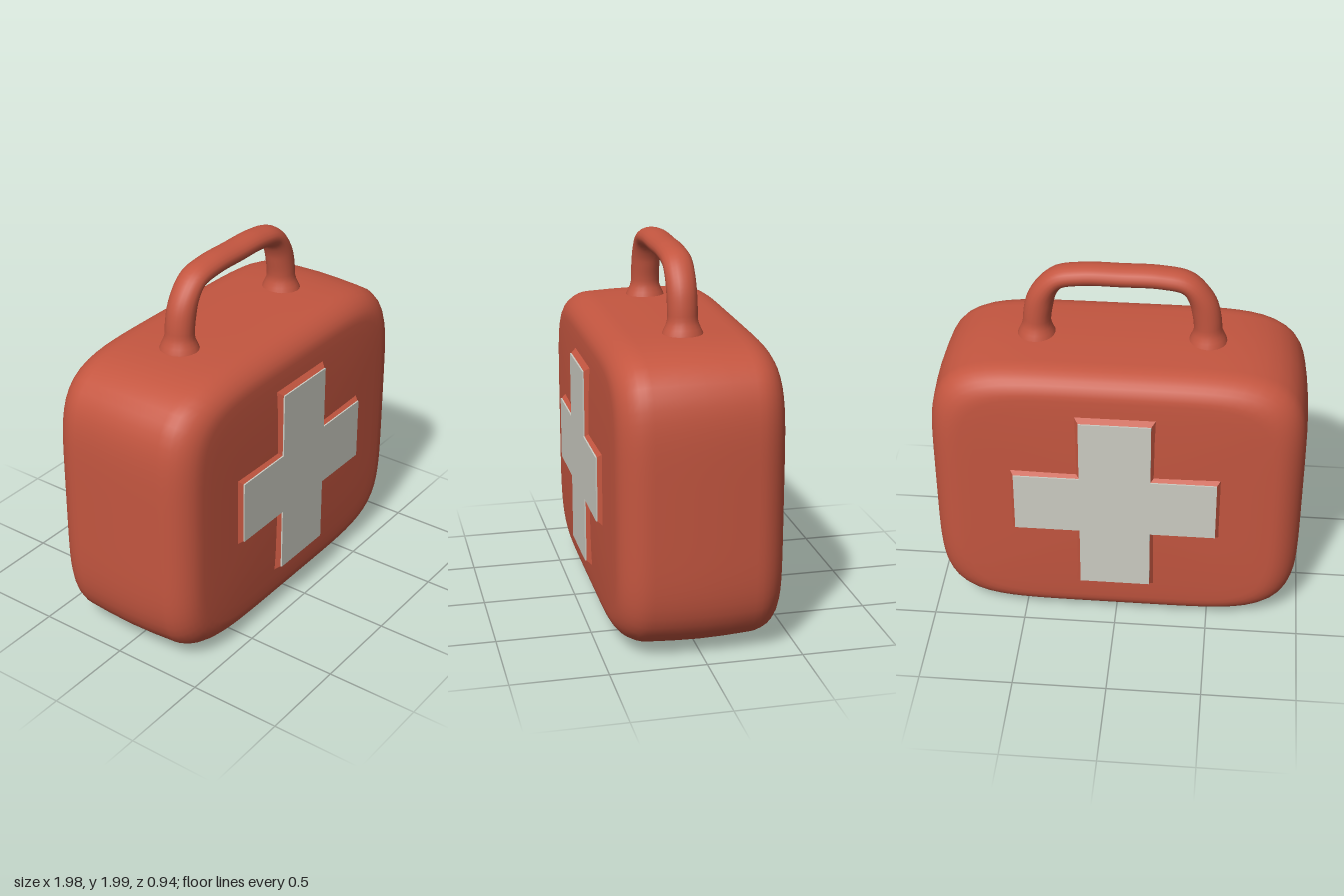
import * as THREE from 'three';
import { mergeVertices } from 'three/addons/utils/BufferGeometryUtils.js';

const red = new THREE.MeshStandardMaterial({ color: 0xc45640 });
red.name = 'caseRed';
const white = new THREE.MeshStandardMaterial({ color: 0xcdcdc4 });
white.name = 'crossWhite';

function part(name, geometry, material) {
  const mesh = new THREE.Mesh(geometry, material);
  mesh.name = name;
  return mesh;
}

// Drop seams and shade the whole surface smoothly
function smooth(geometry) {
  geometry.deleteAttribute('uv');
  geometry.deleteAttribute('normal');
  const merged = mergeVertices(geometry, 1e-4);
  merged.computeVertexNormals();
  return merged;
}

// Soft case: a turned pillow profile pushed out to a superellipse outline
function caseGeometry() {
  const half = [[0, 0.445], [0.3, 0.444], [0.55, 0.441], [0.75, 0.435]];
  for (let i = 0; i <= 8; i++) {
    const a = (i / 8) * Math.PI / 2;
    half.push([0.825 + 0.165 * Math.sin(a), 0.26 + 0.17 * Math.cos(a)]);
  }
  half.push([0.997, 0.13], [1, 0]);
  const profile = half.map(([r, z]) => new THREE.Vector2(r, -z));
  for (const [r, z] of half.slice(0, -1).reverse()) profile.push(new THREE.Vector2(r, z));
  const geometry = new THREE.LatheGeometry(profile, 112).rotateX(Math.PI / 2);
  const pos = geometry.attributes.position;
  const n = 5.5;
  for (let i = 0; i < pos.count; i++) {
    const x = pos.getX(i), y = pos.getY(i), r = Math.hypot(x, y);
    const k = r < 1e-6 ? 0 : r / Math.pow(Math.abs(x) ** n + Math.abs(y) ** n, 1 / n);
    pos.setXY(i, x * k * 0.992, 0.797 + y * k * 0.79);
  }
  return smooth(geometry);
}

// Carrying handle: a tube thinner along the grip and flared at its feet
function handleGeometry() {
  const side = [[0.445, 1.5], [0.445, 1.6], [0.437, 1.72], [0.405, 1.83], [0.335, 1.915], [0.2, 1.943]];
  const points = [
    ...side.map(([x, y]) => new THREE.Vector3(-x, y, 0)),
    new THREE.Vector3(0, 1.945, 0),
    ...side.slice().reverse().map(([x, y]) => new THREE.Vector3(x, y, 0)),
  ];
  const curve = new THREE.CatmullRomCurve3(points);
  const rings = 72, sides = 20, radius = 0.078;
  const geometry = new THREE.TubeGeometry(curve, rings, radius, sides, false);
  const pos = geometry.attributes.position;
  for (let i = 0; i <= rings; i++) {
    const p = curve.getPointAt(i / rings);
    const flare = 1 + 0.45 * (1 - THREE.MathUtils.smoothstep(p.y, 1.55, 1.66));
    const thick = THREE.MathUtils.lerp(0.94, 0.7, THREE.MathUtils.smoothstep(p.y, 1.75, 1.94)) * flare;
    for (let j = 0; j <= sides; j++) {
      const v = i * (sides + 1) + j;
      pos.setXYZ(v,
        p.x + (pos.getX(v) - p.x) * thick,
        p.y + (pos.getY(v) - p.y) * thick,
        pos.getZ(v) * flare);
    }
  }
  return smooth(geometry);
}

// Cross outline shared by the pad and its face
function crossShape() {
  const w = 0.187, h = 0.173, X = 0.532, Y = 0.528;
  const corners = [
    [w, -Y], [w, -h], [X, -h], [X, h], [w, h], [w, Y],
    [-w, Y], [-w, h], [-X, h], [-X, -h], [-w, -h], [-w, -Y],
  ];
  return new THREE.Shape(corners.map(([x, y]) => new THREE.Vector2(x, y)));
}

function crossBadge(name) {
  const badge = new THREE.Group();
  badge.name = name;
  // Sloped red pad
  const pad = part('crossPad', new THREE.ExtrudeGeometry(crossShape(), {
    depth: 0.01, bevelEnabled: true, bevelThickness: 0.028, bevelSize: 0.022, bevelSegments: 1,
  }), red);
  pad.position.set(0, 0.81, 0.425);
  // Thin white face
  const face = part('crossFace', new THREE.ExtrudeGeometry(crossShape(), {
    depth: 0.009, bevelEnabled: false,
  }), white);
  face.position.set(0, 0.81, 0.462);
  badge.add(pad, face);
  return badge;
}

export function createModel() {
  const model = new THREE.Group();
  model.name = 'firstAidCase';
  model.add(part('caseBody', caseGeometry(), red));
  model.add(part('handle', handleGeometry(), red));
  const back = crossBadge('backCross');
  back.rotation.y = Math.PI;
  model.add(crossBadge('frontCross'), back);
  return model;
}
